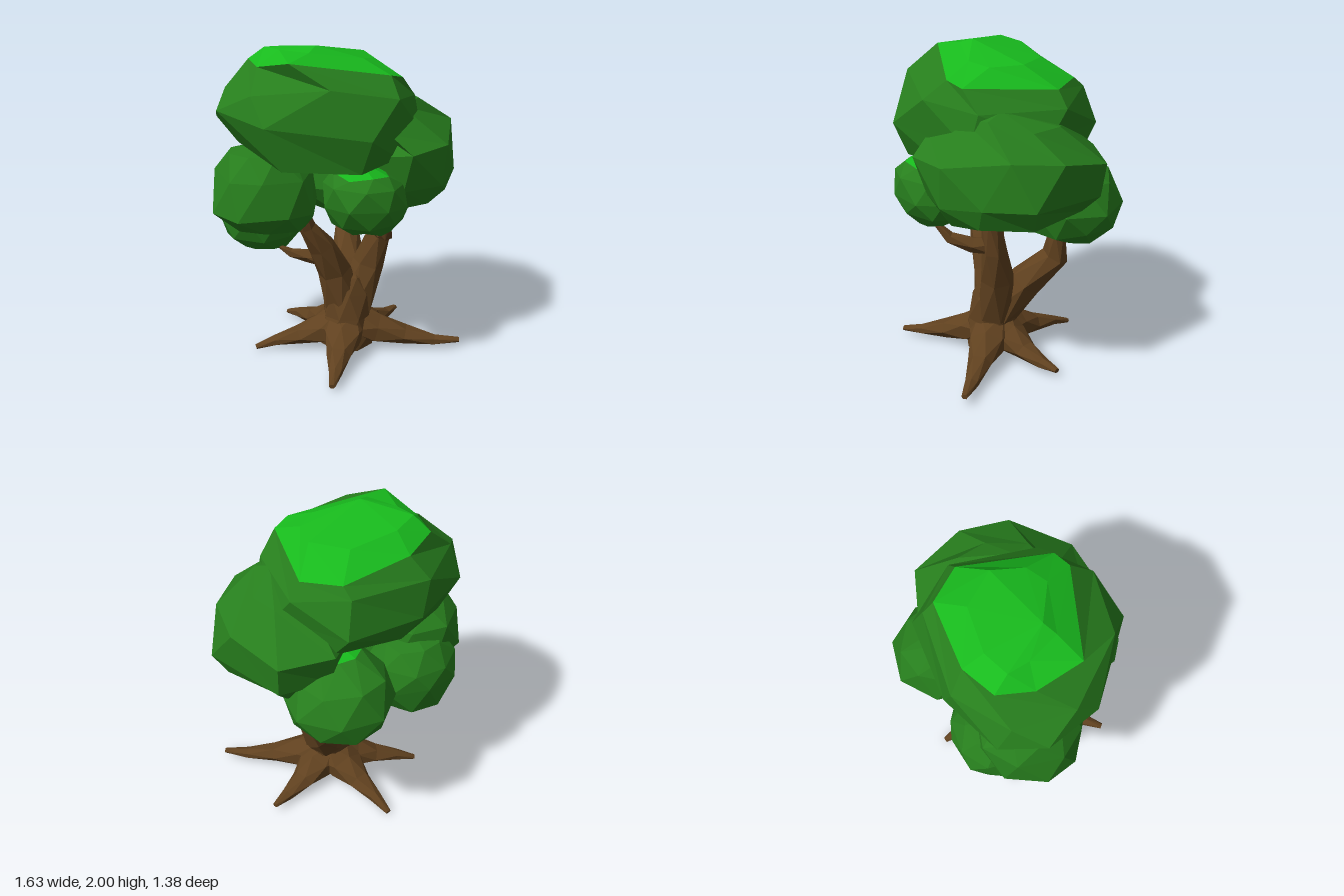
import * as THREE from 'three';

const bark = new THREE.MeshStandardMaterial({ color: 0x60411f });
bark.name = 'bark brown';
const leaf = new THREE.MeshStandardMaterial({ color: 0x277e1d });
leaf.name = 'leaf green';
const sunlit = new THREE.MeshStandardMaterial({ color: 0x18ba1d });
sunlit.name = 'bright leaf green';

// small seeded generator, returns -1..1
let seed = 7;
function jitter() {
  seed = (seed * 16807) % 2147483647;
  return (seed / 2147483647) * 2 - 1;
}

// Faceted skin over a list of rings; the first `capRows` bands use material 1
function loft(rings, capRows = 0) {
  const pos = [];
  let capCount = 0;
  const tri = (a, b, c) => {
    if (a.distanceTo(b) < 1e-5 || b.distanceTo(c) < 1e-5 || a.distanceTo(c) < 1e-5) return;
    for (const p of [a, b, c]) pos.push(p.x, p.y, p.z);
  };
  for (let i = 0; i < rings.length - 1; i++) {
    const r = rings[i], q = rings[i + 1], n = r.length;
    for (let j = 0; j < n; j++) {
      const k = (j + 1) % n;
      tri(r[j], r[k], q[j]);
      tri(r[k], q[k], q[j]);
    }
    if (i + 1 === capRows) capCount = pos.length / 3;
  }
  const geo = new THREE.BufferGeometry();
  geo.setAttribute('position', new THREE.Float32BufferAttribute(pos, 3));
  geo.computeVertexNormals();
  if (capCount) geo.addGroup(0, capCount, 1);
  geo.addGroup(capCount, pos.length / 3 - capCount, 0);
  return geo;
}

// Leaf shell from a top point, rings of [x, y, z] points and a bottom point
function shell(name, top, rings, bottom, capRows = 0) {
  const close = (p) => rings[0].map(() => p);
  const loops = [close(top), ...rings, close(bottom)]
    .map((ring) => ring.map((p) => new THREE.Vector3(...p)));
  const mesh = new THREE.Mesh(loft(loops, capRows), [leaf, sunlit]);
  mesh.name = name;
  return mesh;
}

// Oval clump from rings [y, xMin, xMax, zMin, zMax], turned by `turn` steps
function clump(name, top, ovals, bottom, capRows = 0, turn = 0) {
  const sides = 8;
  const rings = ovals.map(([y, x0, x1, z0, z1], i) =>
    Array.from({ length: sides }, (_, j) => {
      const a = ((j + turn + i * 0.5 + jitter() * 0.1) / sides) * Math.PI * 2;
      const k = 1.03 + jitter() * 0.03;
      return [(x0 + x1) / 2 + Math.cos(a) * k * (x1 - x0) / 2, y + jitter() * 0.02,
        (z0 + z1) / 2 + Math.sin(a) * k * (z1 - z0) / 2];
    }));
  return shell(name, top, rings, bottom, capRows);
}

// Tapering limb through points [x, y, z, radius]
function limb(name, pts, sides = 6, widen = 1) {
  const centres = pts.map((p) => new THREE.Vector3(p[0], p[1], p[2]));
  const last = centres.length - 1;
  const dir = centres[last].clone().sub(centres[0]).normalize();
  const ref = Math.abs(dir.y) > 0.7 ? new THREE.Vector3(0, 0, 1) : new THREE.Vector3(0, 1, 0);
  const rings = centres.map((c, i) => {
    const t = centres[Math.min(i + 1, last)].clone().sub(centres[Math.max(i - 1, 0)]).normalize();
    const s = t.clone().cross(ref).normalize();
    const u = s.clone().cross(t);
    return Array.from({ length: sides }, (_, j) => {
      const a = ((j + i * 0.5) / sides) * Math.PI * 2;
      const r = pts[i][3] * (1 + jitter() * 0.05);
      return c.clone().addScaledVector(s, Math.cos(a) * r * widen).addScaledVector(u, -Math.sin(a) * r);
    });
  });
  const close = (c) => Array.from({ length: sides }, () => c.clone());
  const mesh = new THREE.Mesh(loft([close(centres[0]), ...rings, close(centres[last])]), bark);
  mesh.name = name;
  return mesh;
}

export function createModel() {
  const tree = new THREE.Group();
  tree.name = 'tree';

  // trunk and its forks
  const wood = new THREE.Group();
  wood.name = 'wood';
  wood.add(
    limb('trunk', [[0.05, 0.05, 0.08, 0.18], [0.05, 0.12, 0.09, 0.18], [0.055, 0.22, 0.095, 0.155],
      [0.07, 0.36, 0.065, 0.155], [0.08, 0.47, 0.04, 0.14], [0.08, 0.53, 0.03, 0.07]], 8),
    limb('rightBranch', [[0.03, 0.3, 0.08, 0.125], [-0.03, 0.54, 0.08, 0.11], [-0.13, 0.73, 0.1, 0.085],
      [-0.23, 0.88, 0.11, 0.055], [-0.28, 1.0, 0.12, 0.045]]),
    limb('leftBranch', [[0.11, 0.28, 0.09, 0.12], [0.2, 0.56, 0.1, 0.105], [0.26, 0.78, 0.14, 0.08],
      [0.28, 1.0, 0.17, 0.055], [0.29, 1.1, 0.18, 0.045]]),
    limb('backBranch', [[0.09, 0.27, 0.06, 0.12], [0.15, 0.49, -0.1, 0.115], [0.23, 0.68, -0.27, 0.085],
      [0.25, 0.86, -0.27, 0.055], [0.26, 1.0, -0.29, 0.05]]),
    limb('frontTwig', [[0.25, 0.8, 0.14, 0.06], [0.22, 0.82, 0.27, 0.05], [0.17, 0.86, 0.4, 0.038],
      [0.14, 0.95, 0.47, 0.018]], 5),
    limb('sideTwig', [[-0.08, 0.62, 0.08, 0.055], [-0.18, 0.64, 0.01, 0.045], [-0.27, 0.65, -0.06, 0.03],
      [-0.33, 0.69, -0.1, 0.012]], 5),
  );

  // roots spreading from the trunk foot
  const tips = [[0.69, 0.06, 0.46], [-0.3, 0.04, 0.61], [-0.51, 0.015, -0.1], [-0.11, 0.015, -0.5], [0.56, 0.05, -0.17]];
  for (const [x, y, z] of tips) {
    const at = (t, h, r) => [0.05 + (x - 0.05) * t, h, 0.08 + (z - 0.08) * t, r];
    wood.add(limb('root', [at(0.05, 0.17, 0.12), at(0.28, 0.125, 0.095), at(0.52, 0.085, 0.06),
      at(0.78, 0.055, 0.034), at(1, y, 0.015)], 6, 1.3));
  }
  tree.add(wood);

  // foliage
  const foliage = new THREE.Group();
  foliage.name = 'foliage';
  foliage.add(
    // the big crown, with a bright cap sloping down to the left
    shell('crownClump', [-0.18, 2.0, 0.14], [
      [[0.23, 1.91, -0.05], [0.2, 1.9, 0.15], [0.08, 1.92, 0.24], [-0.25, 1.97, 0.2],
        [-0.36, 1.97, 0.02], [-0.4, 1.97, -0.11], [-0.25, 1.95, -0.2], [0.05, 1.91, -0.22]],
      [[0.36, 1.78, -0.22], [0.29, 1.81, 0.34], [0.18, 1.84, 0.4], [-0.42, 1.94, 0.3],
        [-0.5, 1.88, 0.02], [-0.47, 1.89, -0.2], [-0.27, 1.85, -0.33], [0.17, 1.8, -0.39]],
      [[0.43, 1.68, -0.25], [0.41, 1.68, 0.28], [0.16, 1.73, 0.54], [-0.27, 1.82, 0.53],
        [-0.62, 1.76, 0.22], [-0.64, 1.74, -0.15], [-0.36, 1.72, -0.42], [0.15, 1.74, -0.46]],
      [[0.48, 1.52, -0.13], [0.42, 1.48, 0.34], [-0.08, 1.54, 0.67], [-0.6, 1.6, 0.36],
        [-0.76, 1.65, 0.03], [-0.67, 1.55, -0.24], [-0.3, 1.5, -0.46], [0.2, 1.52, -0.53]],
      [[0.42, 1.38, -0.2], [0.2, 1.36, 0.47], [-0.1, 1.33, 0.58], [-0.5, 1.34, 0.37],
        [-0.62, 1.44, 0.0], [-0.52, 1.37, -0.25], [-0.2, 1.34, -0.4], [0.25, 1.38, -0.43]],
    ], [-0.1, 1.24, 0.05], 2),
    shell('leftClump', [0.4, 1.69, 0.14], [
      [[0.56, 1.59, 0], [0.46, 1.65, 0.24], [0.28, 1.64, 0.35], [0.12, 1.52, 0.5],
        [0.05, 1.58, 0.05], [0.1, 1.58, -0.22], [0.3, 1.58, -0.27], [0.5, 1.6, -0.18]],
      [[0.75, 1.45, -0.12], [0.73, 1.48, 0.19], [0.5, 1.42, 0.53], [0.21, 1.41, 0.62],
        [-0.02, 1.36, 0.35], [0, 1.35, -0.2], [0.26, 1.4, -0.49], [0.59, 1.38, -0.44]],
      [[0.82, 1.21, 0.07], [0.67, 1.2, 0.34], [0.47, 1.17, 0.53], [0.2, 1.17, 0.54],
        [0, 1.15, 0.2], [0.05, 1.15, -0.2], [0.25, 1.18, -0.42], [0.58, 1.18, -0.41]],
      [[0.73, 1.07, 0.05], [0.61, 1.07, 0.34], [0.42, 1.04, 0.45], [0.2, 1.01, 0.4],
        [0.08, 1.0, 0.1], [0.1, 1.02, -0.15], [0.25, 1.06, -0.3], [0.5, 1.07, -0.33]],
    ], [0.38, 0.97, 0.04]),
    clump('rightClump', [-0.5, 1.41, 0], [
      [1.37, -0.67, -0.28, -0.2, 0.21],
      [1.24, -0.75, -0.18, -0.31, 0.31],
      [1.03, -0.8, -0.14, -0.32, 0.34],
      [0.9, -0.67, -0.18, -0.23, 0.24],
    ], [-0.43, 0.86, 0]),
    clump('frontClump', [-0.04, 1.37, 0.42], [
      [1.31, -0.2, 0.13, 0.26, 0.61],
      [1.23, -0.25, 0.22, 0.21, 0.67],
      [1.11, -0.26, 0.25, 0.2, 0.69],
      [1.0, -0.2, 0.22, 0.24, 0.65],
      [0.93, -0.08, 0.16, 0.33, 0.55],
    ], [0.04, 0.91, 0.44], 1),
    clump('backClump', [0.15, 1.33, -0.29], [
      [1.29, 0.02, 0.3, -0.43, -0.14],
      [1.19, -0.1, 0.44, -0.63, -0.1],
      [1.02, -0.15, 0.51, -0.7, -0.06],
      [0.88, -0.06, 0.47, -0.67, -0.11],
      [0.8, 0.08, 0.36, -0.54, -0.24],
    ], [0.2, 0.78, -0.4], 1, 0.5),
    clump('lowClump', [-0.38, 1.22, -0.21], [
      [1.17, -0.56, -0.2, -0.37, -0.05],
      [1.06, -0.65, -0.11, -0.45, 0.03],
      [0.92, -0.67, -0.08, -0.46, 0.04],
      [0.77, -0.63, -0.15, -0.42, 0],
      [0.69, -0.52, -0.24, -0.33, -0.09],
    ], [-0.36, 0.655, -0.21]),
  );
  tree.add(foliage);
  return tree;
}
